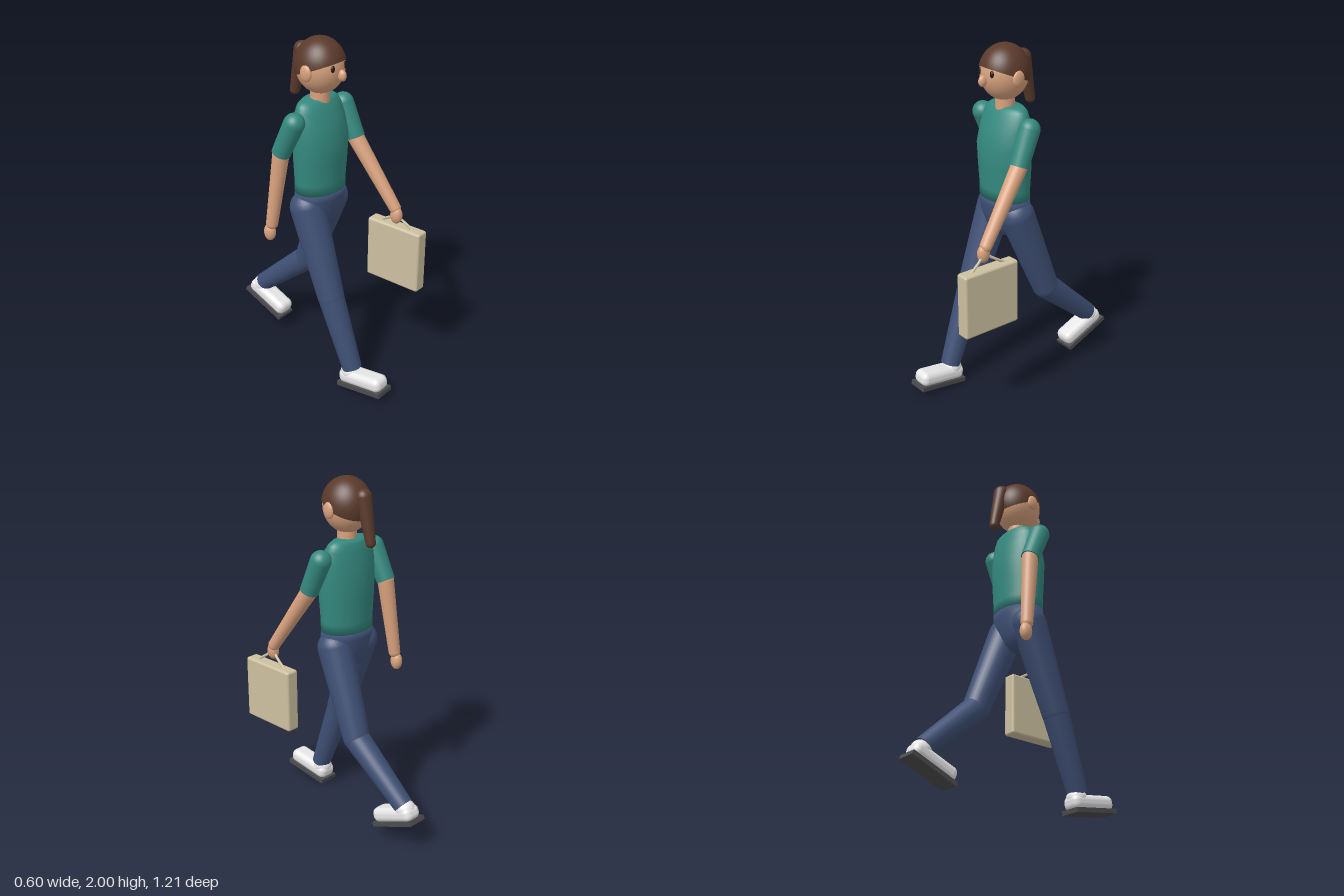
import * as THREE from 'three';
import { mergeVertices } from 'three/addons/utils/BufferGeometryUtils.js';
import { RoundedBoxGeometry } from 'three/addons/geometries/RoundedBoxGeometry.js';

const V = (x, y, z) => new THREE.Vector3(x, y, z);
const CX = -0.016; // body centre line

function material(name, color) {
  const m = new THREE.MeshStandardMaterial({ color });
  m.name = name;
  return m;
}

// Tapered limb from a (radius ra) to b (radius rb); round at a, round or flat at b
function limbGeometry(a, b, ra, rb, flatEnd = false) {
  const len = a.distanceTo(b);
  const pts = [];
  const steps = 8;
  for (let i = 0; i <= steps; i++) {
    const t = (i / steps) * Math.PI / 2;
    pts.push(new THREE.Vector2(ra * Math.sin(t), -ra * Math.cos(t)));
  }
  if (flatEnd) {
    pts.push(new THREE.Vector2(rb, len), new THREE.Vector2(rb, len), new THREE.Vector2(0, len));
  } else {
    for (let i = 0; i <= steps; i++) {
      const t = (i / steps) * Math.PI / 2;
      pts.push(new THREE.Vector2(rb * Math.cos(t), len + rb * Math.sin(t)));
    }
  }
  const geo = new THREE.LatheGeometry(pts, 28);
  const dir = b.clone().sub(a).normalize();
  geo.applyQuaternion(new THREE.Quaternion().setFromUnitVectors(V(0, 1, 0), dir));
  return geo.translate(a.x, a.y, a.z);
}

// Body from elliptical rows [y, rx, rz, zCentre], lowest row first
function loftGeometry(rows) {
  const geo = new THREE.LatheGeometry(rows.map(r => new THREE.Vector2(r[1], r[0])), 40);
  const pos = geo.attributes.position;
  for (let i = 0; i < pos.count; i++) {
    const [, rx, rz, zc] = rows[i % rows.length];
    pos.setX(i, pos.getX(i) + CX);
    pos.setZ(i, pos.getZ(i) * rz / Math.max(rx, 1e-4) + zc);
  }
  geo.deleteAttribute('uv');
  geo.deleteAttribute('normal');
  const merged = mergeVertices(geo, 1e-5);
  merged.computeVertexNormals();
  return merged;
}

function ellipsoid(c, rx, ry, rz) {
  return new THREE.SphereGeometry(1, 28, 20).scale(rx, ry, rz).translate(c.x, c.y, c.z);
}

export function createModel() {
  const model = new THREE.Group();
  model.name = 'walkingPerson';
  const skin = material('skin', 0xd9a27e);
  const hair = material('hair brown', 0x5a3a2b);
  const shirt = material('shirt teal', 0x34897f);
  const denim = material('trouser blue', 0x3f5075);
  const white = material('shoe white', 0xe6e6e6);
  const rubber = material('sole grey', 0x4c4c4e);
  const tan = material('case tan', 0xcdc0a0);
  const dark = material('eye dark', 0x2a1b16);

  const add = (name, geo, mat, parent = model) => {
    const mesh = new THREE.Mesh(geo, mat);
    mesh.name = name;
    parent.add(mesh);
    return mesh;
  };

  // Torso and pelvis
  add('torso', loftGeometry([
    [1.14, 0, 0, 0.043], [1.14, 0.166, 0.122, 0.043], [1.2, 0.168, 0.12, 0.043],
    [1.32, 0.176, 0.126, 0.044], [1.44, 0.181, 0.13, 0.045], [1.54, 0.177, 0.108, 0.036],
    [1.61, 0.166, 0.085, 0.028], [1.645, 0.148, 0.07, 0.022], [1.662, 0.12, 0.056, 0.02],
    [1.667, 0, 0, 0.02],
  ]), shirt);
  add('pelvis', loftGeometry([
    [0.905, 0, 0, 0.04], [0.912, 0.06, 0.05, 0.04], [0.935, 0.1, 0.08, 0.04],
    [0.98, 0.14, 0.1, 0.042], [1.04, 0.163, 0.113, 0.043], [1.1, 0.17, 0.12, 0.043],
    [1.142, 0.165, 0.121, 0.043], [1.142, 0, 0, 0.043],
  ]), denim);

  // Head
  const head = new THREE.Group();
  head.name = 'head';
  model.add(head);
  const c = V(CX, 1.843, 0.041);
  add('neck', new THREE.CylinderGeometry(0.054, 0.054, 0.16, 28).translate(CX, 1.69, 0.04), skin, head);
  add('face', ellipsoid(c, 0.129, 0.152, 0.138), skin, head);
  add('nose', ellipsoid(V(CX, 1.817, 0.188), 0.02, 0.032, 0.026), skin, head);
  for (const s of [1, -1]) {
    add('ear', ellipsoid(V(CX + s * 0.128, 1.832, 0.05), 0.018, 0.046, 0.037), skin, head);
    add('eye', ellipsoid(V(CX + s * 0.048, 1.858, 0.163), 0.013, 0.02, 0.011), dark, head);
  }
  // Hair cap, tilted so it sits lower at the back, and ponytail
  const cap = new THREE.SphereGeometry(1, 40, 24, 0, Math.PI * 2, 0, Math.PI / 2 + 0.06)
    .rotateX(-0.36).scale(0.135, 0.157, 0.144).translate(c.x, c.y, c.z);
  const capMaterial = hair;
  capMaterial.side = THREE.DoubleSide;
  add('hairCap', cap, capMaterial, head);
  add('ponytail', limbGeometry(V(CX, 1.905, -0.083), V(CX, 1.665, -0.136), 0.046, 0.028), hair, head);

  // Arms
  const arms = [
    { side: 'left', shoulder: V(0.188, 1.572, 0.037), elbow: V(0.2, 1.385, 0.117),
      wrist: V(0.238, 1.01, 0.374), hand: V(0.235, 0.97, 0.388) },
    { side: 'right', shoulder: V(-0.22, 1.572, 0.033), elbow: V(-0.234, 1.385, -0.05),
      wrist: V(-0.262, 0.955, -0.1), hand: V(-0.267, 0.9, -0.112) },
  ];
  for (const { side, shoulder, elbow, wrist, hand } of arms) {
    const arm = new THREE.Group();
    arm.name = side + 'Arm';
    model.add(arm);
    add('sleeve', limbGeometry(shoulder, elbow, 0.059, 0.053, true), shirt, arm);
    add('forearm', limbGeometry(elbow, wrist, 0.047, 0.034), skin, arm);
    add('hand', ellipsoid(hand, 0.031, 0.052, 0.036), skin, arm);
  }

  // Legs and shoes
  const legs = [
    { side: 'left', hip: V(0.083, 1.045, 0.037), knee: V(0.11, 0.555, -0.155),
      ankle: V(0.097, 0.255, -0.505), sole: V(0.093, 0.127, -0.47), pitch: 0.4 },
    { side: 'right', hip: V(-0.117, 1.045, 0.037), knee: V(-0.13, 0.545, 0.215),
      ankle: V(-0.122, 0.12, 0.37), sole: V(-0.122, 0.023, 0.458), pitch: -0.14 },
  ];
  for (const { side, hip, knee, ankle, sole, pitch } of legs) {
    const leg = new THREE.Group();
    leg.name = side + 'Leg';
    model.add(leg);
    add('thigh', limbGeometry(hip, knee, 0.1, 0.076), denim, leg);
    add('shin', limbGeometry(knee, ankle, 0.075, 0.056, true), denim, leg);
    const shoe = new THREE.Group();
    shoe.name = side + 'Shoe';
    shoe.position.copy(sole);
    shoe.rotation.x = pitch;
    leg.add(shoe);
    add('sole', new THREE.BoxGeometry(0.12, 0.026, 0.3).translate(0, 0.013, 0), rubber, shoe);
    add('upper', new RoundedBoxGeometry(0.116, 0.085, 0.29, 5, 0.036).translate(0, 0.06, 0), white, shoe);
    add('collar', ellipsoid(V(0, 0.085, -0.085), 0.057, 0.052, 0.058), white, shoe);
  }

  // Briefcase carried in the left hand
  const briefcase = new THREE.Group();
  briefcase.name = 'briefcase';
  model.add(briefcase);
  add('caseBody', new RoundedBoxGeometry(0.08, 0.37, 0.355, 3, 0.014).translate(0.26, 0.715, 0.378), tan, briefcase);
  const handlePath = new THREE.CatmullRomCurve3([
    V(0.262, 0.89, 0.495), V(0.25, 0.935, 0.43), V(0.24, 0.965, 0.385),
    V(0.25, 0.935, 0.335), V(0.262, 0.89, 0.262),
  ]);
  add('caseHandle', new THREE.TubeGeometry(handlePath, 24, 0.008, 10), tan, briefcase);

  return model;
}
